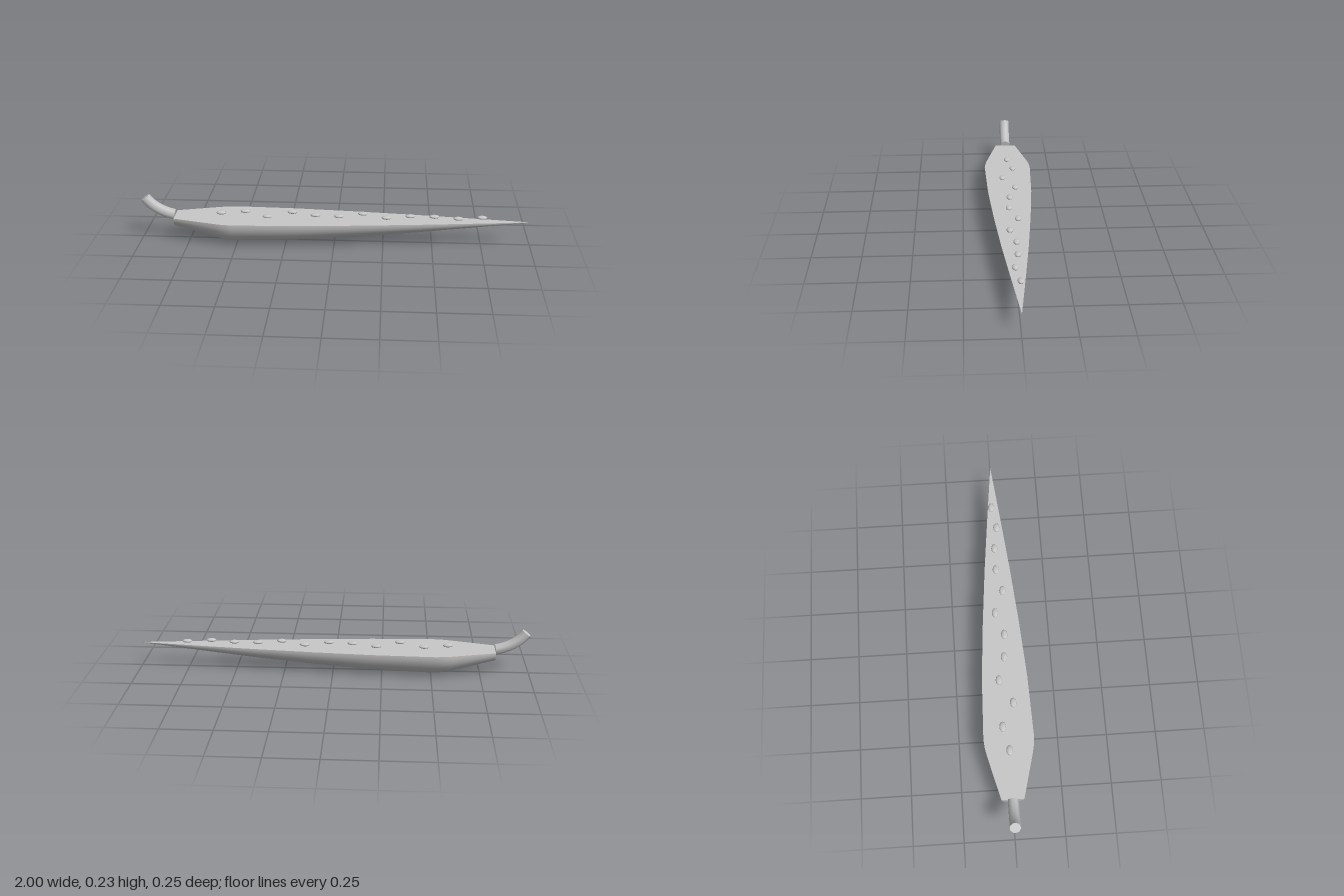
import * as THREE from 'three';

export function createModel() {
  const group = new THREE.Group();
  const grey = new THREE.MeshStandardMaterial({ color: 0xc8c8c8, side: THREE.DoubleSide });
  const DECK = 0.127;

  const add = (name, geometry, x = 0, y = 0, z = 0) => {
    const mesh = new THREE.Mesh(geometry, grey);
    mesh.name = name;
    mesh.position.set(x, y, z);
    group.add(mesh);
    return mesh;
  };

  // Half-round hull: [x along the body, radius]
  const profile = [
    [-0.825, 0.056], [-0.6, 0.114], [-0.565, 0.121], [-0.52, 0.126],
    [-0.2, 0.115], [0.1, 0.093], [0.4, 0.066], [0.7, 0.034], [1, 0.0005],
  ];
  const hull = new THREE.LatheGeometry(profile.map(([x, r]) => new THREE.Vector2(r, x)), 16, 0, Math.PI);
  hull.rotateZ(-Math.PI / 2);
  add('hull', hull, 0, DECK, 0);

  // Flat top following the hull outline
  const outline = [...profile, ...profile.slice().reverse().map(([x, r]) => [x, -r])];
  const deck = new THREE.ShapeGeometry(new THREE.Shape(outline.map(([x, z]) => new THREE.Vector2(x, z))));
  // Outline runs clockwise or not, ShapeGeometry always faces +z before this turn
  deck.rotateX(-Math.PI / 2);
  add('topFace', deck, 0, DECK, 0);

  // Half-disc closing the blunt end
  const end = new THREE.CircleGeometry(profile[0][1], 16, Math.PI, Math.PI);
  end.rotateY(-Math.PI / 2);
  add('endFace', end, profile[0][0], DECK, 0);

  // Curved seven-sided stem with closed ends
  const STEM = 0.028;
  const curve = new THREE.QuadraticBezierCurve3(
    new THREE.Vector3(-0.828, 0.128, 0),
    new THREE.Vector3(-0.925, 0.148, 0),
    new THREE.Vector3(-0.978, 0.219, 0),
  );
  add('stem', new THREE.TubeGeometry(curve, 12, STEM, 7, false));
  for (const t of [0, 1]) {
    const p = curve.getPoint(t);
    const dir = curve.getTangent(t).multiplyScalar(t ? 1 : -1);
    // Start angle lines the cap corners up with the tube corners
    const disc = new THREE.CircleGeometry(STEM, 7, Math.atan2(-dir.y, -dir.x));
    const cap = add('stemCap', disc, p.x, p.y, p.z);
    cap.quaternion.setFromUnitVectors(new THREE.Vector3(0, 0, 1), dir);
  }

  // Row of flattened beads hovering over the top face
  const bead = new THREE.SphereGeometry(1, 12, 6);
  bead.scale(0.026, 0.009, 0.0165);
  const offsets = [0, -0.027, 0.034, -0.03, 0.004, 0.013, -0.027, 0.019, -0.008, -0.008, 0.01, -0.01];
  offsets.forEach((z, i) => add('bead', bead, -0.585 + i * 0.1217, 0.143, z));

  return group;
}
